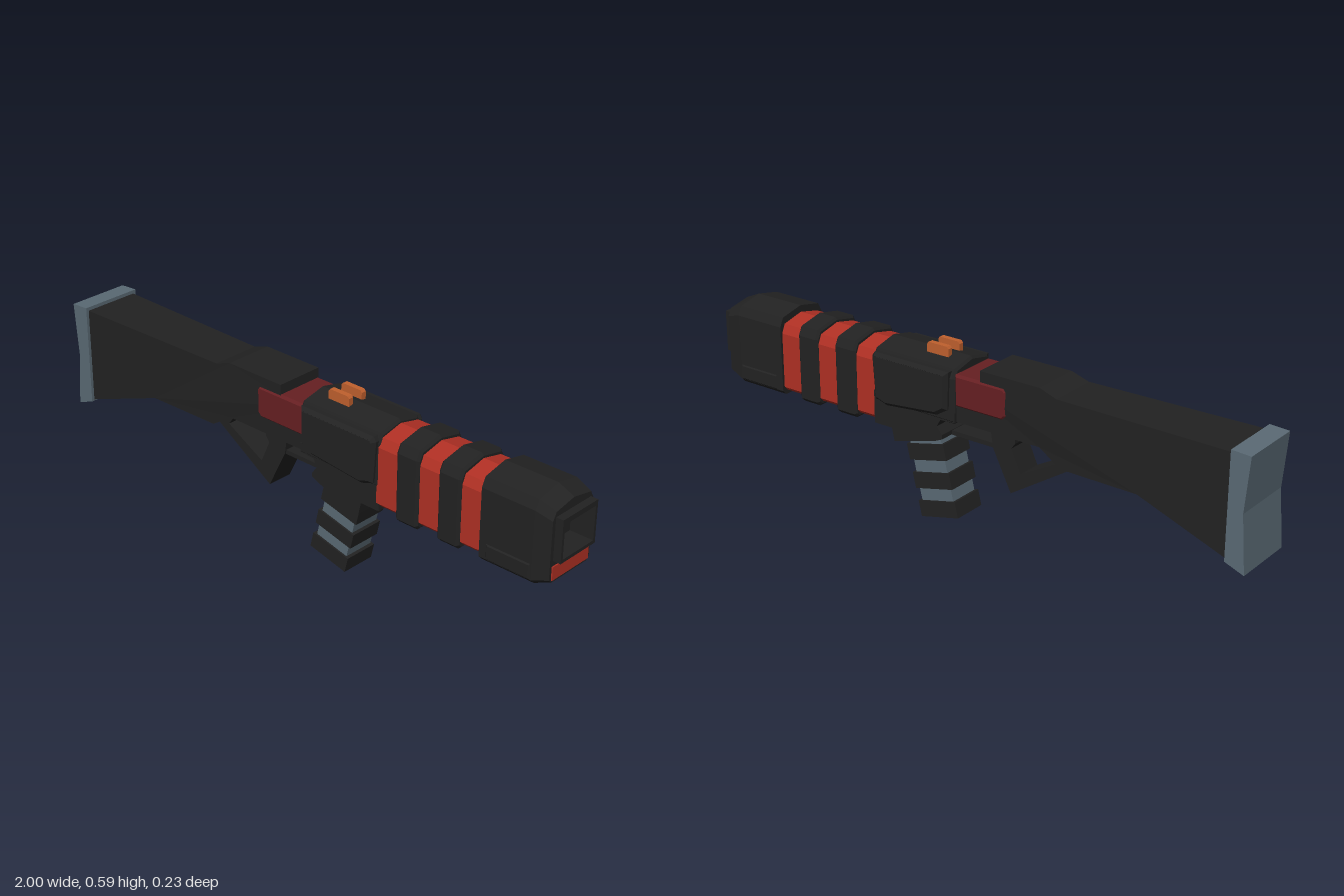
import * as THREE from 'three';

const mat = (name, color) => {
  const m = new THREE.MeshStandardMaterial({ color });
  m.name = name;
  return m;
};

const shapeOf = (pts) => new THREE.Shape(pts.map(([x, y]) => new THREE.Vector2(x, y)));

// Extrusion of a closed outline, centred on z, with an optional chamfer inside the outline
function slab(shape, half, bevel = 0) {
  const geo = new THREE.ExtrudeGeometry(shape, {
    depth: 2 * (half - bevel), bevelEnabled: bevel > 0, bevelThickness: bevel,
    bevelSize: bevel, bevelOffset: -bevel, bevelSegments: 1, curveSegments: 1,
  });
  return geo.translate(0, 0, bevel - half);
}

// Barrel cross-section: shallow peaked top, chamfered shoulders, small lower chamfer
const section = (w, bottom, top) => shapeOf([
  [0, top], [-w * 0.85, top - 0.018], [-w, top - 0.048], [-w, bottom + 0.014], [-w + 0.014, bottom],
  [w - 0.014, bottom], [w, bottom + 0.014], [w, top - 0.048], [w * 0.85, top - 0.018],
]);

// Runs a (z, y) outline along x
const along = (shape, x0, x1, bevel = 0) =>
  slab(shape, (x1 - x0) / 2, bevel).rotateY(Math.PI / 2).translate((x0 + x1) / 2, 0, 0);

const rect = (x0, y0, x1, y1) => [[x0, y0], [x1, y0], [x1, y1], [x0, y1]];

export function createModel() {
  const black = mat('black', 0x222222);
  const red = mat('red', 0xb03024);
  const darkRed = mat('dark red', 0x661f22);
  const grey = mat('blue grey', 0x5a6a74);
  const orange = mat('orange', 0xc0602e);

  const model = new THREE.Group();
  model.name = 'blaster';
  const add = (name, geo, material, parent = model) => {
    const mesh = new THREE.Mesh(geo, material);
    mesh.name = name;
    parent.add(mesh);
    return mesh;
  };

  // Stock, slightly wider toward the butt
  const stock = slab(shapeOf([
    [-0.94, 0.55], [-0.94, 0.22], [-0.63, 0.33], [-0.36, 0.33], [-0.28, 0.38], [0.04, 0.38],
    [0.04, 0.53], [-0.06, 0.53], [-0.06, 0.57], [-0.28, 0.57], [-0.34, 0.55],
  ]), 1);
  const sp = stock.attributes.position;
  for (let i = 0; i < sp.count; i++) {
    const t = THREE.MathUtils.clamp((sp.getX(i) + 0.94) / 0.66, 0, 1);
    sp.setZ(i, sp.getZ(i) * THREE.MathUtils.lerp(0.098, 0.083, t));
  }
  stock.computeVertexNormals();
  add('stock', stock, black);

  add('buttPlate', slab(shapeOf([
    [-1, 0.558], [-0.985, 0.38], [-1, 0.192], [-0.935, 0.217], [-0.935, 0.562],
  ]), 0.108), grey);

  // Dark red block that shows on both sides and on top
  add('accentBlock', slab(shapeOf([
    [-0.16, 0.445], [-0.145, 0.43], [0.035, 0.43], [0.035, 0.537], [-0.15, 0.537], [-0.16, 0.525],
  ]), 0.088, 0.008), darkRed);

  // Open brace under the stock and the trigger guard
  const brace = shapeOf([
    [-0.4, 0.335], [-0.15, 0.175], [-0.082, 0.31], [-0.07, 0.385], [-0.38, 0.385], [-0.38, 0.335],
  ]);
  brace.holes.push(shapeOf([
    [-0.33, 0.327], [-0.185, 0.248], [-0.15, 0.325], [-0.165, 0.345], [-0.165, 0.38], [-0.29, 0.38],
  ]));
  add('stockBrace', slab(brace, 0.045), black);
  add('triggerGuard', slab(shapeOf(rect(-0.09, 0.308, 0.1, 0.323)), 0.04), black);

  // Receiver: upper housing and lower well
  add('receiver', along(section(0.095, 0.37, 0.57), 0.03, 0.35, 0.008), black);
  add('receiverWell', slab(shapeOf([
    [0.03, 0.41], [0.03, 0.378], [0.085, 0.375], [0.1, 0.35], [0.08, 0.325], [0.08, 0.31],
    [0.11, 0.297], [0.27, 0.253], [0.28, 0.297], [0.35, 0.297], [0.35, 0.41],
  ]), 0.092), black);

  // Raised side frames with a recessed pane on each side
  const frame = shapeOf([
    [0.045, 0.545], [0.05, 0.42], [0.09, 0.395], [0.29, 0.375], [0.335, 0.39], [0.345, 0.53], [0.335, 0.545],
  ]);
  const pane = [
    [0.075, 0.523], [0.08, 0.435], [0.11, 0.422], [0.285, 0.402], [0.31, 0.415], [0.318, 0.523],
  ];
  frame.holes.push(shapeOf(pane));
  add('sideFrames', slab(frame, 0.114, 0.012), black);
  for (const [name, side, material] of [['leftPane', 1, black], ['rightPane', -1, darkRed]]) {
    add(name, slab(shapeOf(pane), 0.004), material).position.z = side * 0.104;
  }

  // Sight rails
  for (const z of [-0.028, 0.028]) {
    add('sightRail', slab(shapeOf([
      [0.095, 0.55], [0.178, 0.55], [0.178, 0.588], [0.172, 0.595], [0.101, 0.595], [0.095, 0.588],
    ]), 0.009), orange).position.z = z;
  }

  // Barrel with two raised bands
  add('barrel', along(section(0.092, 0.308, 0.557), 0.34, 0.75), red);
  for (const [x0, x1] of [[0.42, 0.505], [0.578, 0.66]]) {
    add('barrelBand', along(section(0.101, 0.293, 0.572), x0, x1, 0.008), black);
  }

  // Muzzle block, tapered nose with a square bore, and a projecting rim
  add('muzzle', along(section(0.1, 0.295, 0.58), 0.735, 0.92), black);
  const bore = rect(-0.07, 0.397, 0.07, 0.508);
  const noseShape = section(0.1, 0.295, 0.58);
  noseShape.holes.push(shapeOf(bore));
  const nose = along(noseShape, 0.92, 0.975);
  const np = nose.attributes.position;
  for (let i = 0; i < np.count; i++) {
    const y = np.getY(i), z = np.getZ(i);
    const outer = Math.abs(z) > 0.071 || y > 0.51 || y < 0.39;
    if (np.getX(i) > 0.95 && outer) {
      np.setY(i, 0.43 + (y - 0.43) * 0.84);
      np.setZ(i, z * 0.92);
    }
  }
  nose.computeVertexNormals();
  add('nose', nose, black);
  const rim = shapeOf(rect(-0.079, 0.386, 0.079, 0.525));
  rim.holes.push(shapeOf(bore));
  add('muzzleRim', along(rim, 0.97, 1), black);
  add('muzzleStripe', along(shapeOf(rect(-0.083, 0.325, 0.083, 0.369)), 0.97, 0.979), red);
  add('muzzleLowerPlate', slab(shapeOf(rect(0.76, 0.31, 0.915, 0.36)), 0.104, 0.004), black);

  // Raked grip with alternating bands
  const grip = new THREE.Group();
  grip.name = 'grip';
  grip.position.set(0.122, 0.045, 0);
  grip.rotation.z = -0.235;
  model.add(grip);
  add('gripCore', new THREE.BoxGeometry(0.128, 0.25, 0.11), grey, grip).position.y = 0.12;
  for (let i = 0; i < 3; i++) {
    add('gripBand', new THREE.BoxGeometry(0.15, 0.054, 0.122), black, grip).position.y = i * 0.096;
  }
  return model;
}
